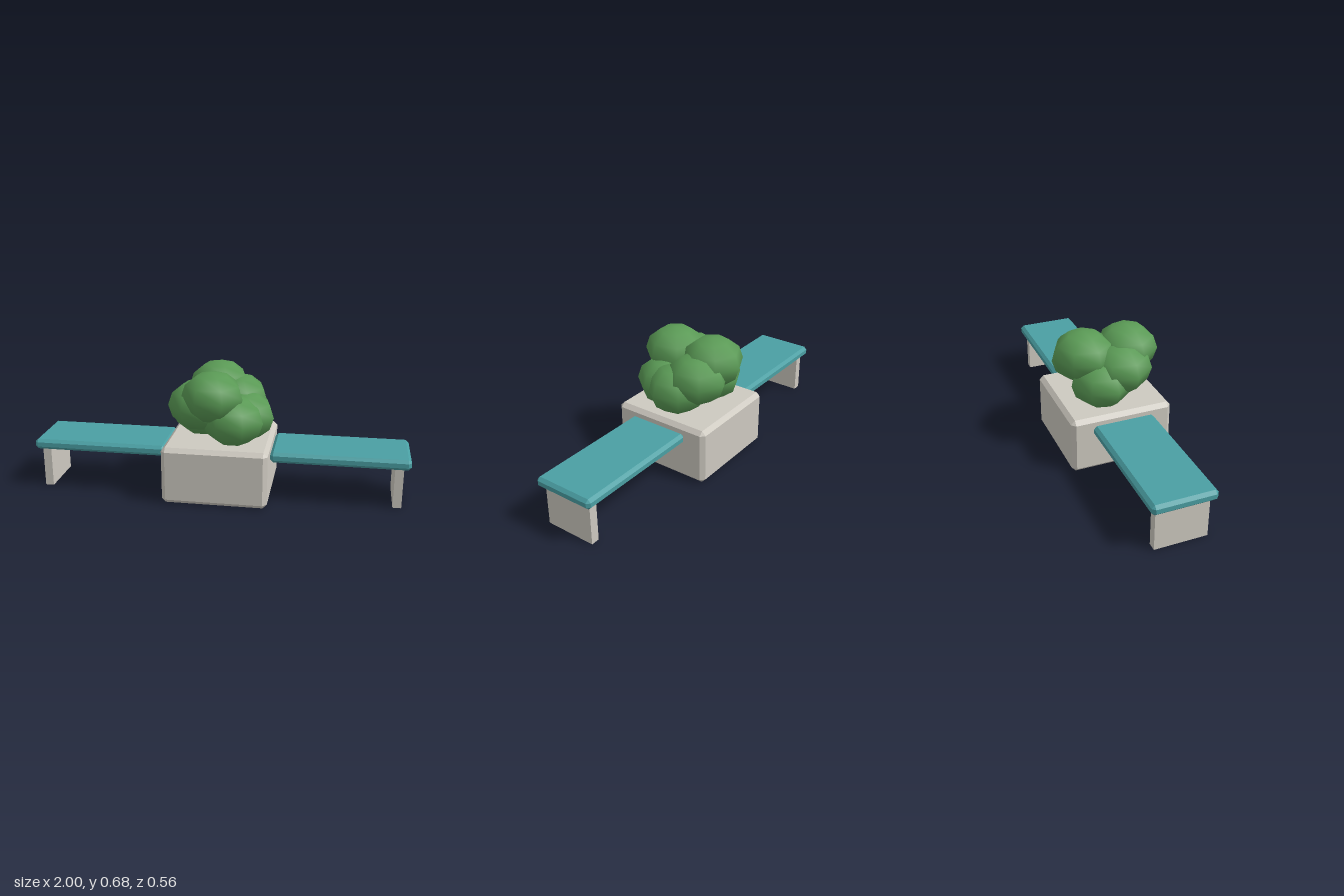
import * as THREE from 'three';
import { ConvexGeometry } from 'three/addons/geometries/ConvexGeometry.js';

// Box with every edge cut off at 45 degrees
function chamferBox(w, h, d, c) {
  const half = [w / 2, h / 2, d / 2];
  const points = [];
  for (const sx of [-1, 1]) for (const sy of [-1, 1]) for (const sz of [-1, 1]) {
    for (let face = 0; face < 3; face++) {
      const p = [sx, sy, sz].map((s, i) => s * (half[i] - (i === face ? 0 : c)));
      points.push(new THREE.Vector3(...p));
    }
  }
  return new ConvexGeometry(points);
}

export function createModel() {
  const stone = new THREE.MeshStandardMaterial({ color: 0xcdc9c0 });
  stone.name = 'stone';
  const teal = new THREE.MeshStandardMaterial({ color: 0x4a9fa3 });
  teal.name = 'teal';
  const leaf = new THREE.MeshStandardMaterial({ color: 0x5a9a55 });
  leaf.name = 'leaf green';

  const model = new THREE.Group();
  model.name = 'planterBench';
  const midZ = 0.005;

  const add = (parent, name, geometry, material, x, y, z) => {
    const mesh = new THREE.Mesh(geometry, material);
    mesh.name = name;
    mesh.position.set(x, y, z);
    parent.add(mesh);
    return mesh;
  };

  // Planter block
  add(model, 'planter', chamferBox(0.555, 0.307, 0.555, 0.022), stone, 0, 0.1535, midZ);

  // A seat and an end leg on each side
  const seat = chamferBox(0.72, 0.056, 0.334, 0.016);
  const leg = new THREE.BoxGeometry(0.045, 0.22, 0.276);
  for (const [side, s] of [['left', 1], ['right', -1]]) {
    add(model, side + 'Seat', seat, teal, s * 0.64, 0.246, midZ);
    add(model, side + 'Leg', leg, stone, s * 0.943, 0.11, midZ);
  }

  // Ring of seven leaf clumps at three repeating heights
  const shrub = new THREE.Group();
  shrub.name = 'shrub';
  const clump = new THREE.SphereGeometry(0.165, 7, 6, -Math.PI / 2);
  clump.scale(1, 0.133 / 0.165, 1);
  for (let i = 0; i < 7; i++) {
    const a = (i / 7) * Math.PI * 2;
    add(shrub, 'leafClump' + (i + 1), clump, leaf,
      Math.cos(a) * 0.123, 0.42 + 0.065 * (i % 3), midZ - Math.sin(a) * 0.123);
  }
  model.add(shrub);
  return model;
}
